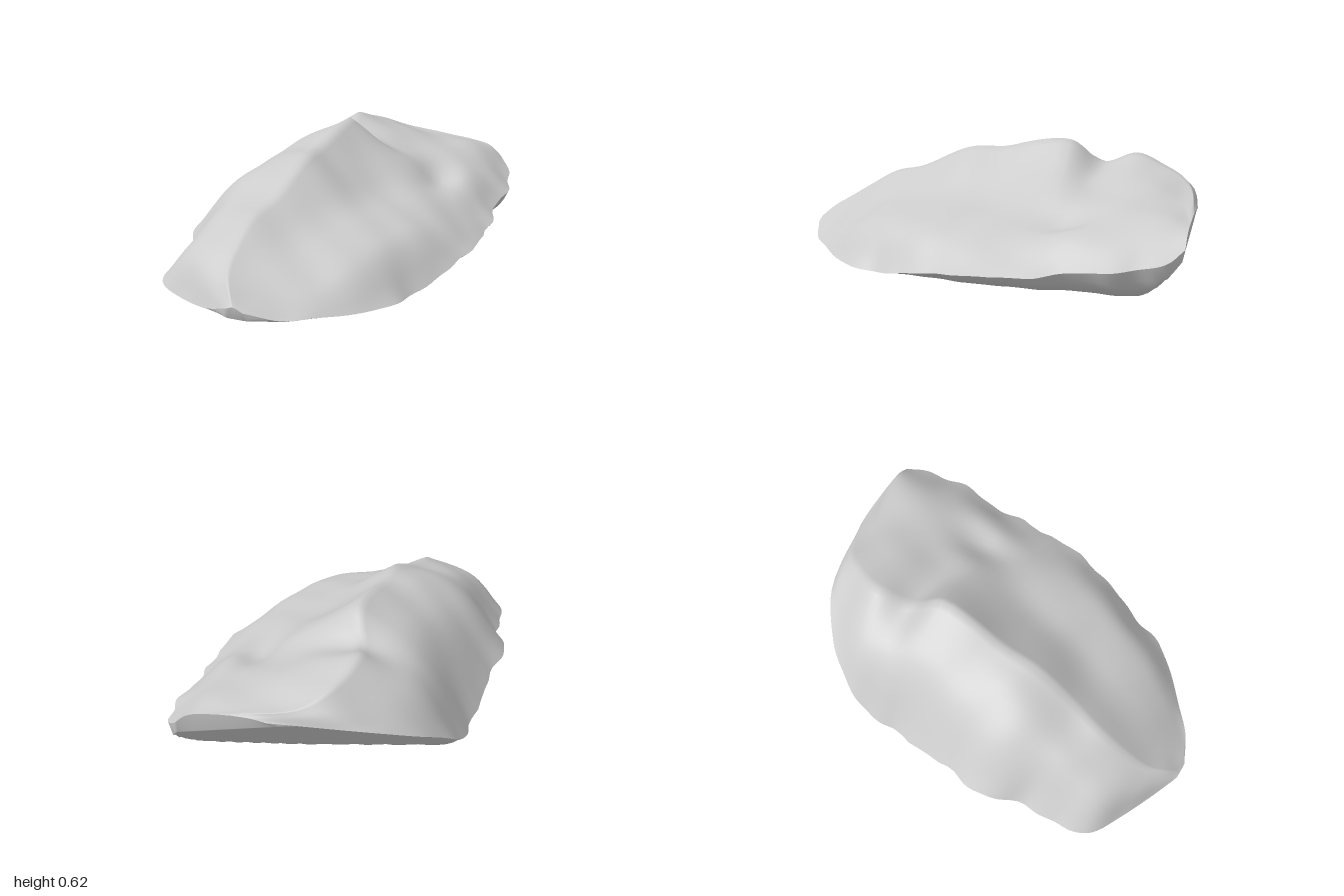
import * as THREE from 'three';

// Cross-sections from front to back. Each one runs from the right rim (-x), over a
// shoulder and the ridge, down two slope points to the left rim (+x):
// z, rim x, rim y, shoulder y, ridge x, ridge y, slope y, low slope y, rim x, rim y
const SECTIONS = [
  [0.995, -0.13, 0.125, 0.13, -0.1, 0.135, 0.13, 0.12, -0.05, 0.115],
  [0.93, -0.27, 0.075, 0.145, -0.15, 0.19, 0.14, 0.1, 0.1, 0.075],
  [0.85, -0.42, 0.06, 0.185, -0.19, 0.24, 0.18, 0.12, 0.2, 0.07],
  [0.74, -0.59, 0.07, 0.245, -0.2, 0.305, 0.23, 0.155, 0.33, 0.06],
  [0.58, -0.62, 0.08, 0.31, -0.19, 0.385, 0.28, 0.21, 0.47, 0.06],
  [0.42, -0.62, 0.1, 0.37, -0.15, 0.44, 0.32, 0.25, 0.53, 0.06],
  [0.22, -0.69, 0.14, 0.42, -0.12, 0.53, 0.36, 0.27, 0.61, 0.1],
  [0, -0.66, 0.12, 0.435, -0.11, 0.56, 0.37, 0.265, 0.67, 0.13],
  [-0.35, -0.62, 0.05, 0.45, -0.08, 0.62, 0.435, 0.28, 0.68, 0.15],
  [-0.5, -0.61, 0.08, 0.41, -0.13, 0.52, 0.43, 0.33, 0.66, 0.18],
  [-0.66, -0.55, 0.19, 0.415, -0.16, 0.555, 0.45, 0.35, 0.68, 0.2],
  [-0.8, -0.42, 0.28, 0.4, -0.12, 0.515, 0.44, 0.36, 0.66, 0.22],
  [-0.93, -0.22, 0.36, 0.415, -0.02, 0.455, 0.41, 0.365, 0.63, 0.25],
  [-0.995, 0.15, 0.38, 0.39, 0.3, 0.39, 0.38, 0.355, 0.57, 0.3],
];
const ROWS = 78, LEFT = 16, RIGHT = 26, COLS = LEFT + RIGHT;
const { lerp, clamp } = THREE.MathUtils;

const bump = (x, z, cx, cz, rx, rz) => Math.exp(-(((x - cx) / rx) ** 2) - ((z - cz) / rz) ** 2);

// Low, irregular waves, plus the hollow, the knob beside it and a bulge on the shoulder
function relief(x, z) {
  return 0.006 * Math.sin(9 * x + 4 * z + 1) * Math.sin(11 * z - 3 * x)
    + 0.004 * Math.sin(19 * x - 7 * z) * Math.cos(17 * z + 5 * x)
    - 0.05 * bump(x, z, 0.37, -0.42, 0.09, 0.14)
    + 0.02 * bump(x, z, 0.52, -0.42, 0.09, 0.13)
    + 0.025 * bump(x, z, -0.27, 0.1, 0.14, 0.15);
}

// Points of the upper surface, row by row
function upperGrid() {
  const tracks = [0, 1, 2, 3, 4, 5].map((k) => new THREE.CatmullRomCurve3(
    SECTIONS.map(([z, xl, yl, ya, xk, yk, yb, yc, xr, yr]) => [
      [xl, yl], [lerp(xl, xk, 0.45), ya], [xk, yk],
      [lerp(xk, xr, 0.35), yb], [lerp(xk, xr, 0.75), yc], [xr, yr],
    ][k]).map(([x, y], i) => new THREE.Vector3(x, y, SECTIONS[i][0]))));
  const grid = [];
  for (let i = 0; i <= ROWS; i++) {
    const t = i / ROWS;
    const p = tracks.map((c) => c.getPoint(t));
    // Two curves meet at the ridge and leave a crease there
    const left = new THREE.CatmullRomCurve3(p.slice(0, 3)).getPoints(LEFT);
    const right = new THREE.CatmullRomCurve3(p.slice(2)).getPoints(RIGHT);
    const row = [...left, ...right.slice(1)];
    row.forEach((v, j) => {
      const u = j / COLS;
      const inside = Math.min(1, 12 * u * (1 - u)) * Math.min(1, 12 * t * (1 - t));
      v.y += relief(v.x, v.z) * inside;
      // Chipped outline
      const chip = Math.sin(27 * v.z + 2 * Math.sign(u - 0.5)) * Math.sin(8 * v.z + 1);
      v.x *= 1 + 0.015 * chip * Math.abs(2 * u - 1) ** 6;
    });
    grid.push(row);
  }
  return grid;
}

// Same outline: a shallow keeled belly that meets the rims, cut by a slanted plane at the back
function lowerGrid(upper) {
  return upper.map((row, i) => row.map((v, j) => {
    const end = i === 0 || i === ROWS || j === 0 || j === COLS;
    if (end) return v.clone();
    const rim = j < LEFT ? row[0] : row[COLS];
    const across = Math.abs((2 * (v.x - row[0].x)) / (row[COLS].x - row[0].x) - 1);
    const keel = Math.max(0.075 * (0.15 - v.x), 0.13 * (v.x - 0.15));
    const belly = 0.07 * (v.z + 0.05) ** 2 + keel * (1 - v.z * v.z);
    const backFace = -0.25 * v.x - 1.05 * v.z - 0.645;
    const y = Math.max(lerp(belly, rim.y, clamp(across, 0, 1) ** 11), backFace);
    return new THREE.Vector3(v.x, Math.min(y, v.y), v.z);
  }));
}

function surface(name, grid, facesUp) {
  const index = [];
  for (let i = 0; i < ROWS; i++) {
    for (let j = 0; j < COLS; j++) {
      const a = i * (COLS + 1) + j, b = a + 1, c = a + COLS + 1, d = c + 1;
      if (facesUp) index.push(a, b, c, b, d, c);
      else index.push(a, c, b, b, c, d);
    }
  }
  const geometry = new THREE.BufferGeometry().setFromPoints(grid.flat());
  geometry.setIndex(index);
  geometry.computeVertexNormals();
  const mesh = new THREE.Mesh(geometry, new THREE.MeshStandardMaterial({ color: 0xcccccc }));
  mesh.name = name;
  return mesh;
}

export function createModel() {
  const rock = new THREE.Group();
  rock.name = 'rock';
  const upper = upperGrid();
  rock.add(surface('rockTop', upper, true), surface('rockUnderside', lowerGrid(upper), false));
  return rock;
}
